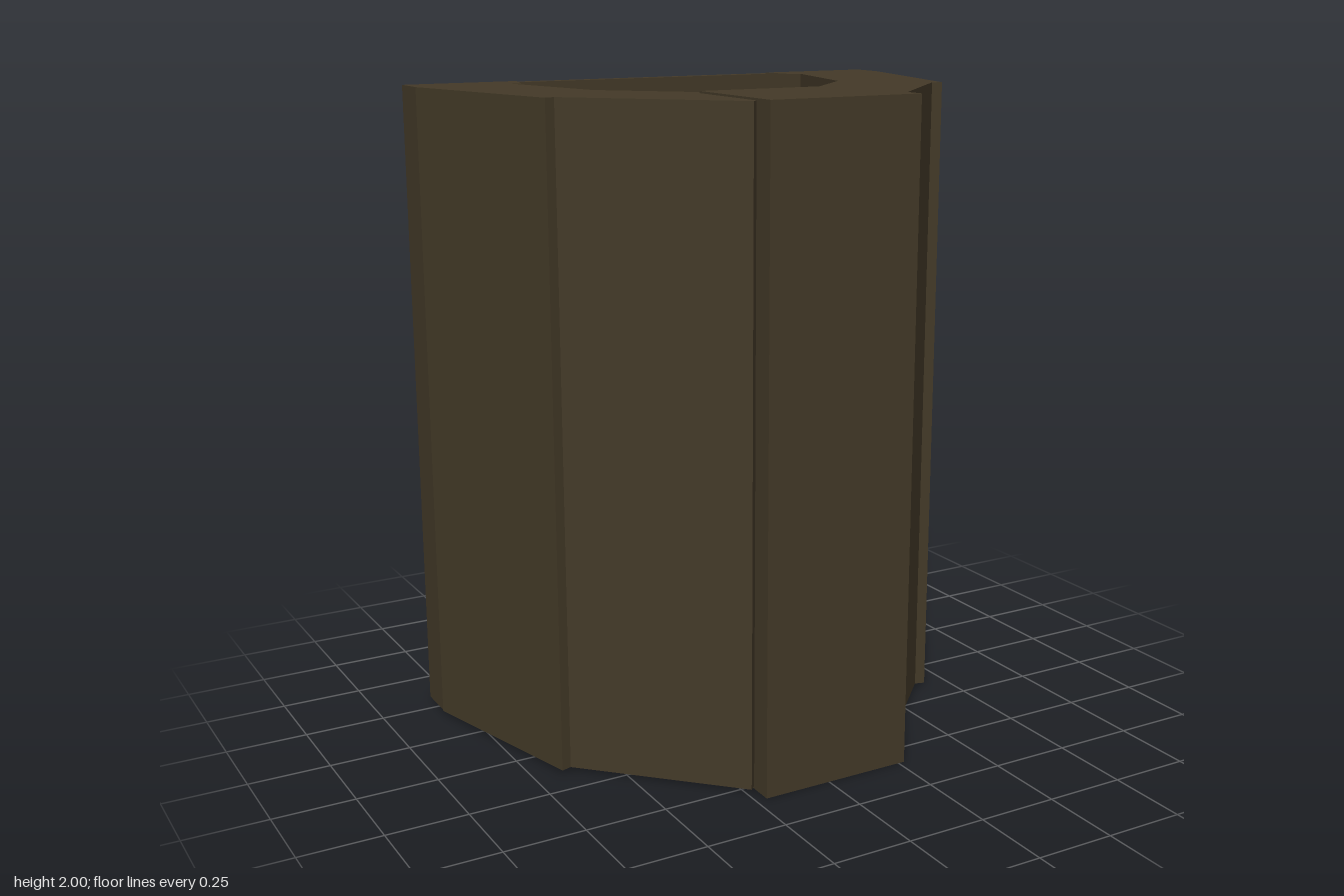
import * as THREE from 'three';

const bark = new THREE.MeshStandardMaterial({ color: 0x443a28 });
bark.name = 'darkOliveBrown';

// Upright prism from a floor outline of [x, z] points
function prism(name, outline, bottom, top) {
  const shape = new THREE.Shape(outline.map(([x, z]) => new THREE.Vector2(x, -z)));
  const geo = new THREE.ExtrudeGeometry(shape, { depth: top - bottom, bevelEnabled: false });
  geo.rotateX(-Math.PI / 2);
  geo.translate(0, bottom, 0);
  const mesh = new THREE.Mesh(geo, bark);
  mesh.name = name;
  return mesh;
}

export function createModel() {
  const group = new THREE.Group();
  group.name = 'hollowColumn';

  // Mirrored wall panels
  for (const [side, s] of [['left', 1], ['right', -1]]) {
    const add = (name, pts, bottom, top) =>
      group.add(prism(side + name, pts.map(([x, z]) => [s * x, z]), bottom, top));
    add('DiagonalPanel', [[0.632, 0.138], [0.235, 0.535], [0.1, 0.4], [0.155, 0.2], [0.42, -0.065]], 0.01, 1.994);
    add('SidePanel', [[0.82, -0.437], [0.663, 0.147], [0.632, 0.138], [0.42, -0.065], [0.515, -0.437]], 0.01, 1.994);
    add('BackPost', [[0.82, -0.555], [0.82, -0.437], [0.483, -0.437], [0.45, -0.555]], 0.015, 1.994);
  }

  // Slightly taller, off-centre front panel
  group.add(prism('frontPanel', [[-0.215, 0.2], [0.27, 0.2], [0.27, 0.587], [-0.215, 0.587]], 0, 2));

  // Thin plate closing the back
  group.add(prism('backPlate', [[-0.575, -0.588], [0.578, -0.588], [0.578, -0.555], [-0.575, -0.555]], 0.01, 1.99));

  return group;
}
